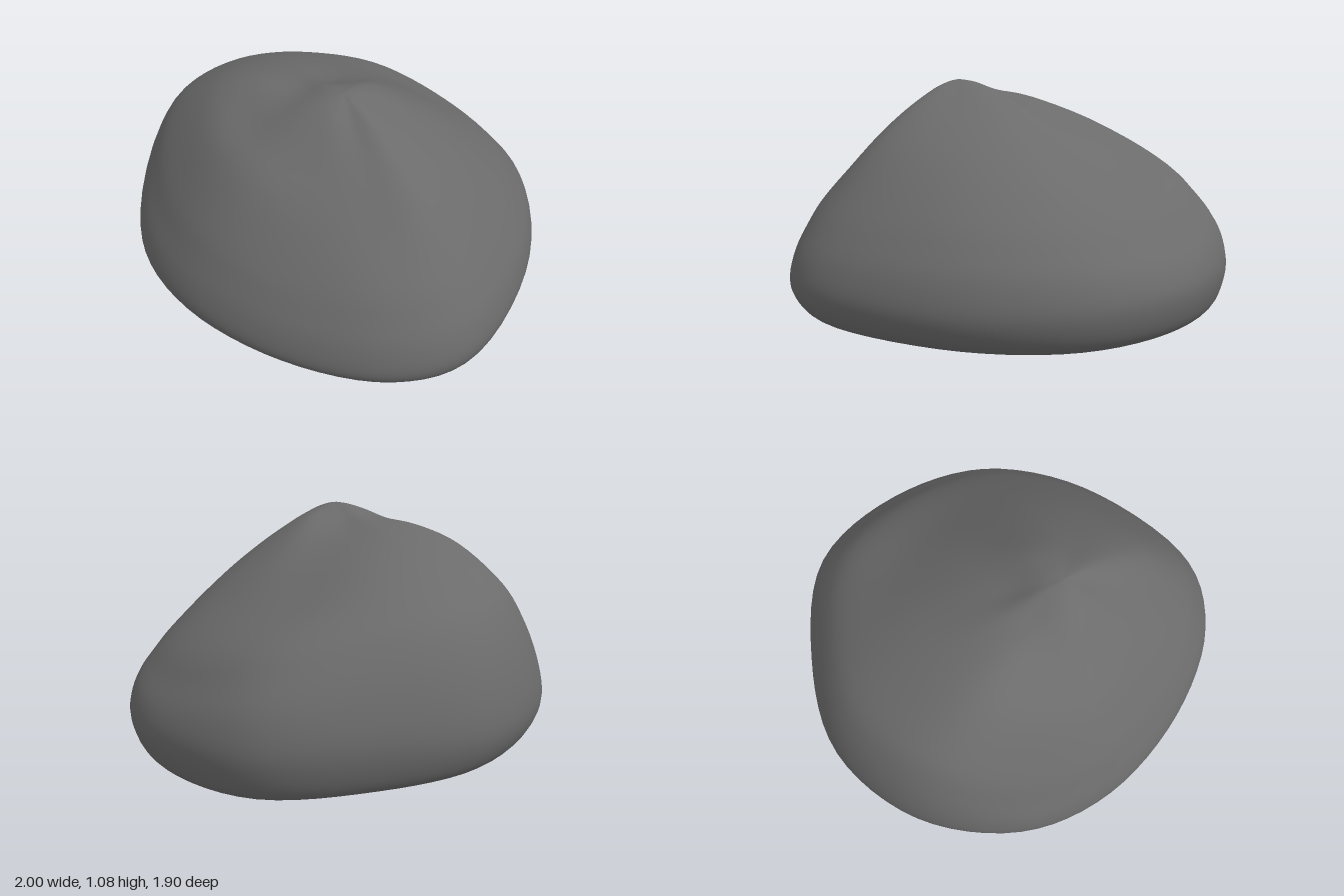
import * as THREE from 'three';
import { mergeVertices } from 'three/addons/utils/BufferGeometryUtils.js';

const SUMMIT = new THREE.Vector3(0.17, 1.092, 0.19);

// Fractions of the way from summit to widest outline at which heights are given
const STEPS = [0.2, 0.4, 0.6, 0.8, 0.9, 0.97, 1];

// Twelve directions around the boulder: outline x, z, then the height at each step
const STATIONS = [
  [1.0, 0.2, 1.04, 0.935, 0.79, 0.58, 0.455, 0.34, 0.22],
  [0.85, 0.58, 1.01, 0.89, 0.74, 0.57, 0.45, 0.34, 0.22],
  [0.45, 0.84, 1.03, 0.9, 0.76, 0.57, 0.45, 0.34, 0.23],
  [-0.05, 0.95, 1.04, 0.94, 0.83, 0.63, 0.49, 0.37, 0.26],
  [-0.5, 0.85, 1.04, 0.96, 0.87, 0.66, 0.51, 0.39, 0.27],
  [-0.86, 0.52, 1.04, 1.02, 0.95, 0.8, 0.65, 0.47, 0.3],
  [-1.0, 0.05, 1.04, 1.0, 0.92, 0.79, 0.66, 0.48, 0.3],
  [-0.86, -0.4, 1.01, 0.95, 0.87, 0.75, 0.63, 0.47, 0.3],
  [-0.55, -0.82, 1.0, 0.88, 0.755, 0.65, 0.54, 0.42, 0.27],
  [-0.05, -0.95, 1.02, 0.87, 0.71, 0.56, 0.44, 0.34, 0.23],
  [0.45, -0.81, 1.02, 0.88, 0.72, 0.54, 0.43, 0.33, 0.21],
  [0.82, -0.4, 1.02, 0.9, 0.75, 0.56, 0.44, 0.33, 0.2],
];

// Underside rings: scale of the outline and lift above the tilted base
const UNDERSIDE = [[0.965, 0.105], [0.89, 0.045], [0.75, 0.014], [0.4, 0], [0, 0]];
const baseHeight = (x, z) => 0.035 - 0.03 * x + 0.045 * z;

// Points from summit to base centre along one direction
function controlProfile([x, z, ...heights]) {
  const along = (f, y) => new THREE.Vector3(
    THREE.MathUtils.lerp(SUMMIT.x, x, f), y, THREE.MathUtils.lerp(SUMMIT.z, z, f));
  const crown = along(0.08, THREE.MathUtils.lerp(SUMMIT.y, heights[0], 0.25));
  const upper = STEPS.map((f, i) => along(f, heights[i]));
  const lower = UNDERSIDE.map(([s, lift]) =>
    new THREE.Vector3(x * s, baseHeight(x * s, z * s) + lift, z * s));
  return [SUMMIT.clone(), crown, ...upper, ...lower];
}

function boulderGeometry(columns, rows) {
  const profiles = STATIONS.map(controlProfile);

  // Smooth closed rings through the stations
  const rings = profiles[0].map((_, k) =>
    new THREE.CatmullRomCurve3(profiles.map((p) => p[k]), true, 'catmullrom', 0.5));

  // Smooth meridians through the rings
  const positions = [];
  for (let j = 0; j < columns; j++) {
    const points = rings.map((ring) => ring.getPoint(j / columns));
    const meridian = new THREE.CatmullRomCurve3(points, false, 'catmullrom', 0.5);
    for (let i = 0; i <= rows; i++) positions.push(...meridian.getPoint(i / rows).toArray());
  }

  const index = [];
  for (let j = 0; j < columns; j++) {
    for (let i = 0; i < rows; i++) {
      const a = j * (rows + 1) + i;
      const c = ((j + 1) % columns) * (rows + 1) + i;
      if (i > 0) index.push(a, c, a + 1);
      if (i < rows - 1) index.push(c, c + 1, a + 1);
    }
  }

  let geometry = new THREE.BufferGeometry();
  geometry.setAttribute('position', new THREE.Float32BufferAttribute(positions, 3));
  geometry.setIndex(index);
  geometry = mergeVertices(geometry, 1e-5);

  // Rest the boulder on the ground
  geometry.computeBoundingBox();
  geometry.translate(0, -geometry.boundingBox.min.y, 0);
  geometry.computeVertexNormals();
  return geometry;
}

export function createModel() {
  const stone = new THREE.MeshStandardMaterial({ color: 0x6b6b6b });
  stone.name = 'stone grey';

  const boulder = new THREE.Mesh(boulderGeometry(72, 65), stone);
  boulder.name = 'boulder';

  const model = new THREE.Group();
  model.name = 'rock';
  model.add(boulder);
  return model;
}
